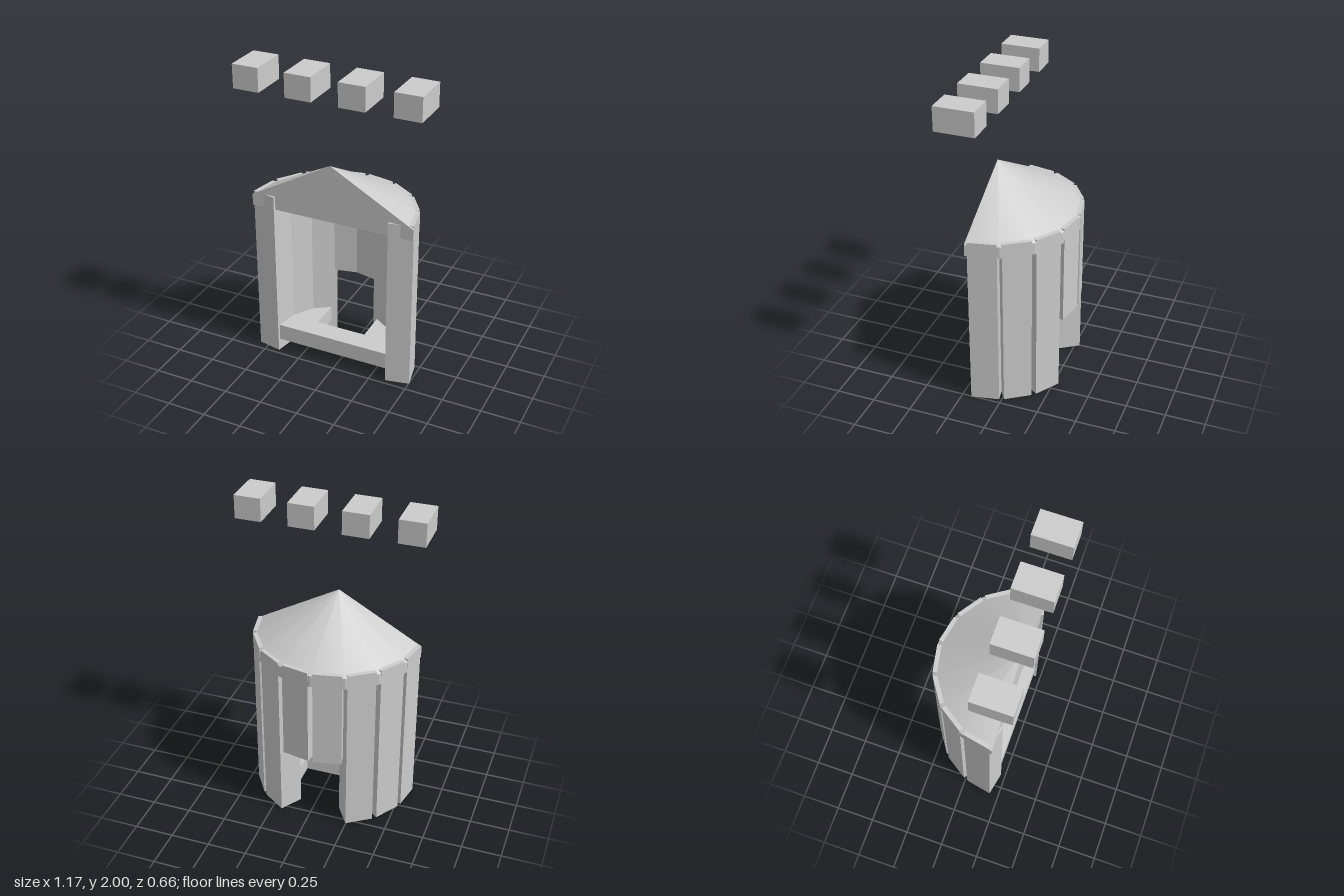
import * as THREE from 'three';

const STEP = Math.PI / 8;          // the tower is half of a 16-sided ring
const WALL_TOP = 1.13, DOOR_TOP = 0.48;
const WALL_IN = 0.37, WALL_OUT = 0.526, PANEL_WIDTH = 0.178;
const EAVE_R = 0.535, ROOF_BASE = 1.04, EAVE_Y = 1.115, APEX_Y = 1.415;

export function createModel() {
  const model = new THREE.Group();
  const smooth = new THREE.MeshStandardMaterial({ color: 0xcccccc });
  const flat = new THREE.MeshStandardMaterial({ color: 0xcccccc, flatShading: true });

  const add = (parent, name, geometry, material = flat) => {
    const mesh = new THREE.Mesh(geometry, material);
    mesh.name = name;
    parent.add(mesh);
    return mesh;
  };

  // Everything in the tower is laid out around the middle of its flat front
  const tower = new THREE.Group();
  tower.name = 'tower';
  tower.position.set(-0.03, 0, 0.205);
  model.add(tower);

  // Wall panels with narrow gaps; the two at the back stop above the doorway
  const walls = new THREE.Group();
  walls.name = 'walls';
  tower.add(walls);
  for (let i = 0; i < 8; i++) {
    const angle = (i + 0.5) * STEP;
    const overDoor = i === 3 || i === 4;
    const bottom = overDoor ? DOOR_TOP : 0;
    const mid = (WALL_IN + WALL_OUT) / 2;
    const panel = add(walls, overDoor ? 'doorLintel' : 'wallPanel',
      new THREE.BoxGeometry(WALL_OUT - WALL_IN, WALL_TOP - bottom, PANEL_WIDTH));
    panel.position.set(mid * Math.cos(angle), (WALL_TOP + bottom) / 2, -mid * Math.sin(angle));
    panel.rotation.y = angle;
  }

  // Half-cone roof on a shallow half-drum, closed by a flat gable
  const roof = new THREE.Group();
  roof.name = 'roof';
  tower.add(roof);
  const half = [Math.PI / 2, Math.PI];
  add(roof, 'roofCone',
    new THREE.ConeGeometry(EAVE_R, APEX_Y - EAVE_Y, 8, 1, true, ...half), smooth)
    .position.y = (APEX_Y + EAVE_Y) / 2;
  add(roof, 'roofDrum',
    new THREE.CylinderGeometry(EAVE_R, EAVE_R, EAVE_Y - ROOF_BASE, 8, 1, false, ...half))
    .position.y = (EAVE_Y + ROOF_BASE) / 2;
  const gable = new THREE.Shape([
    [-EAVE_R, ROOF_BASE], [EAVE_R, ROOF_BASE], [EAVE_R, EAVE_Y], [0, APEX_Y], [-EAVE_R, EAVE_Y],
  ].map(([x, y]) => new THREE.Vector2(x, y)));
  add(roof, 'gable', new THREE.ShapeGeometry(gable));

  // Raised floor, notched at the back for the doorway
  const side = [[0.39, 0], [0.36, 0.149], [0.276, 0.276], [0.167, 0.348], [0.167, 0.135]];
  const outline = [...side, ...side.map(([x, v]) => [-x, v]).reverse()];
  const floor = new THREE.ExtrudeGeometry(
    new THREE.Shape(outline.map(([x, v]) => new THREE.Vector2(x, v))),
    { depth: 0.11, bevelEnabled: false });
  floor.rotateX(-Math.PI / 2);
  add(tower, 'floor', floor).position.y = 0.08;

  // Row of loose battlement blocks above the tower
  const blocks = new THREE.Group();
  blocks.name = 'battlements';
  model.add(blocks);
  for (let i = 0; i < 4; i++) {
    add(blocks, 'battlementBlock', new THREE.BoxGeometry(0.167, 0.15, 0.247))
      .position.set((i - 1.5) * 0.335, 1.925, 0.205);
  }

  return model;
}
